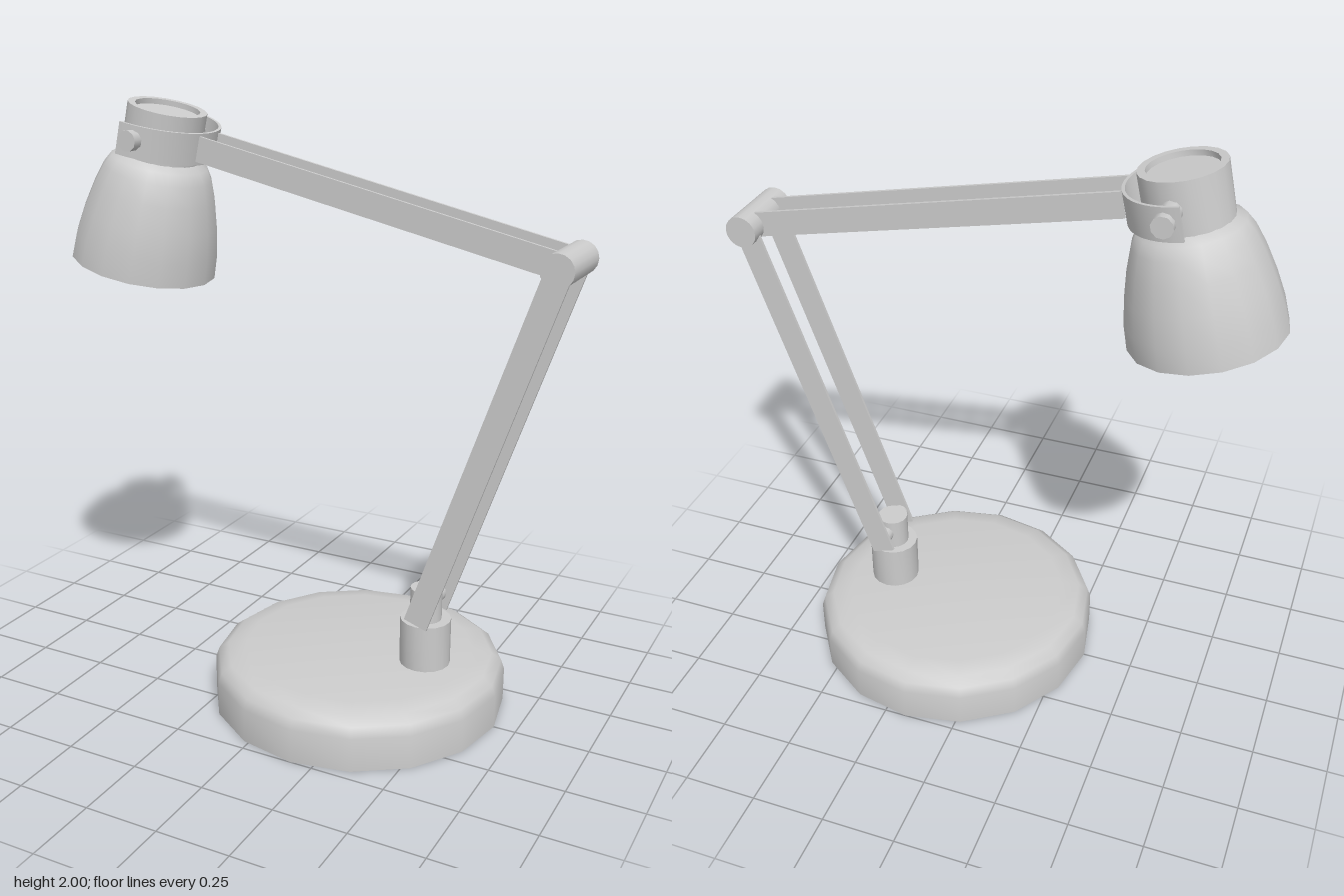
import * as THREE from 'three';
import { toCreasedNormals } from 'three/addons/utils/BufferGeometryUtils.js';

const material = new THREE.MeshStandardMaterial({ color: 0xcccccc });
const thinMaterial = new THREE.MeshStandardMaterial({ color: 0xcccccc, side: THREE.DoubleSide });

function addPart(parent, name, geometry, x = 0, y = 0, z = 0, mat = material) {
  const mesh = new THREE.Mesh(geometry, mat);
  mesh.name = name;
  mesh.position.set(x, y, z);
  parent.add(mesh);
  return mesh;
}

// Turned shape from [radius, height] pairs, listed from bottom to top
function turned(profile, segments) {
  const points = profile.map(([r, y]) => new THREE.Vector2(r, y));
  return toCreasedNormals(new THREE.LatheGeometry(points, segments), 0.7);
}

// Cylinder lying along z
function crossPin(radius, length, segments = 16) {
  return new THREE.CylinderGeometry(radius, radius, length, segments).rotateX(Math.PI / 2);
}

// Pair of flat bars between two points in the xy plane
function addArm(parent, name, from, to, width, offset) {
  const arm = new THREE.Group();
  arm.name = name;
  const dx = to[0] - from[0], dy = to[1] - from[1];
  arm.position.set((from[0] + to[0]) / 2, (from[1] + to[1]) / 2, 0);
  arm.rotation.z = Math.atan2(dy, dx);
  for (const side of [-1, 1]) {
    addPart(arm, name + 'Bar', new THREE.BoxGeometry(Math.hypot(dx, dy), width, 0.01), 0, 0, side * offset);
  }
  parent.add(arm);
}

export function createModel() {
  const lamp = new THREE.Group();
  lamp.name = 'deskLamp';

  // Weighted round base
  addPart(lamp, 'base', turned([
    [0, 0], [0.5, 0], [0.5, 0.115], [0.488, 0.15], [0.455, 0.174], [0.39, 0.185], [0, 0.185],
  ], 16), 0.175);

  // Swivel post with its narrower spindle and pivot pin
  addPart(lamp, 'post', turned([
    [0, 0.18], [0.085, 0.18], [0.085, 0.345], [0.053, 0.345], [0.053, 0.455], [0, 0.455],
  ], 16), 0.42);
  addPart(lamp, 'postPivot', crossPin(0.03, 0.17, 12), 0.428, 0.405);

  // Arms and elbow
  addArm(lamp, 'lowerArm', [0.42, 0.357], [0.84, 1.58], 0.083, 0.088);
  addArm(lamp, 'upperArm', [0.84, 1.58], [-0.392, 1.85], 0.083, 0.058);
  addPart(lamp, 'elbow', crossPin(0.053, 0.24), 0.84, 1.58);

  // Tilted head, its origin at the centre of the shade opening
  const head = new THREE.Group();
  head.name = 'head';
  head.position.set(-0.66, 1.4425, 0);
  head.rotation.z = -0.218;
  lamp.add(head);

  addPart(head, 'shade', turned([
    [0.247, 0], [0.243, 0.08], [0.228, 0.17], [0.206, 0.26], [0.184, 0.325], [0.163, 0.362], [0.125, 0.382],
  ], 16), 0, 0, 0, thinMaterial);

  // Neck with a shallow recess in its top
  addPart(head, 'neck', turned([
    [0, 0.378], [0.132, 0.378], [0.132, 0.543], [0.108, 0.543], [0.108, 0.525], [0, 0.525],
  ], 20));

  // Curved yoke strap wrapped round the arm side of the neck
  const strap = new THREE.Shape();
  strap.absarc(0, 0, 0.214, -Math.PI / 2, Math.PI / 2, false);
  strap.absarc(0, 0, 0.204, Math.PI / 2, -Math.PI / 2, true);
  const strapGeometry = new THREE.ExtrudeGeometry(strap, { depth: 0.105, bevelEnabled: false, curveSegments: 12 });
  strapGeometry.rotateX(-Math.PI / 2);
  addPart(head, 'yoke', toCreasedNormals(strapGeometry, 0.6), -0.035, 0.4);

  // Tilt knobs joining the neck to the yoke
  for (const side of [-1, 1]) {
    addPart(head, 'tiltKnob', crossPin(0.034, 0.115, 10), 0.014, 0.456, side * 0.1775);
  }

  return lamp;
}
